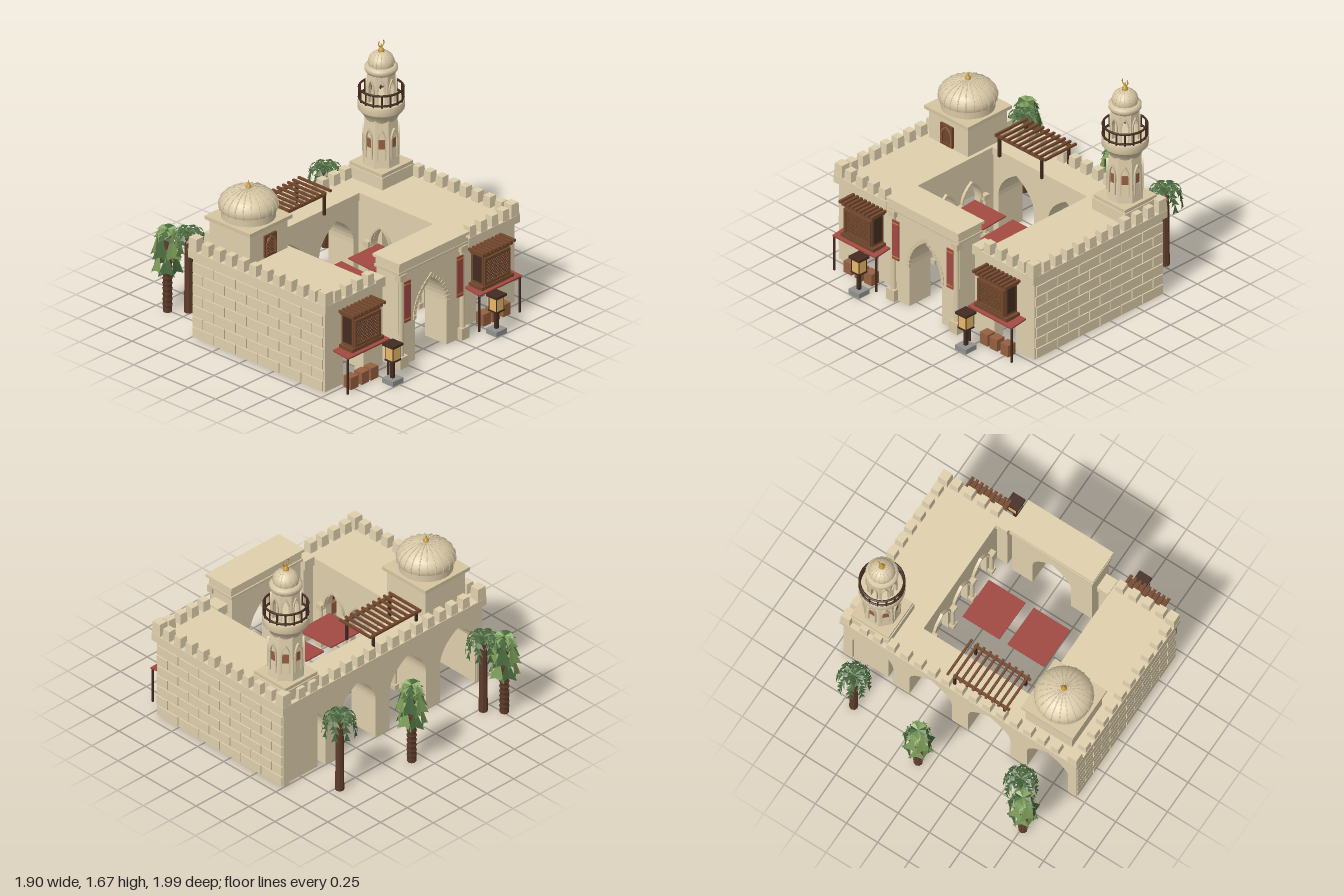
import * as THREE from 'three';

const mat = (color, extra = {}) => new THREE.MeshStandardMaterial({ color, ...extra });
const flat = { flatShading: true }, leafy = { flatShading: true, side: THREE.DoubleSide }, PI = Math.PI;
const M = {
  stone: mat(0xe0d0ad, flat), trim: mat(0xd6c5a1, flat), smooth: mat(0xdacaa7), wood: mat(0x74482d), dark: mat(0x432c20),
  red: mat(0xa24a42), gold: mat(0xc8983c), glow: mat(0xeab868), grey: mat(0x929290), crate: mat(0x966040),
  trunk: mat(0x5e3c2a, flat), leaf: mat(0x48683c, leafy), leafLight: mat(0x7f9f5c, leafy),
};
function add(parent, name, geo, material, x = 0, y = 0, z = 0) {
  const m = Object.assign(new THREE.Mesh(geo, material), { name });
  m.position.set(x, y, z);
  parent.add(m);
  return m;
}
function group(parent, name, x = 0, y = 0, z = 0, ry = 0) {
  const g = Object.assign(new THREE.Group(), { name });
  g.position.set(x, y, z);
  g.rotation.y = ry;
  parent.add(g);
  return g;
}
// Box given by its ranges
const box = (p, name, m, x0, x1, y0, y1, z0, z1) =>
  add(p, name, new THREE.BoxGeometry(Math.abs(x1 - x0), y1 - y0, z1 - z0), m, (x0 + x1) / 2, (y0 + y1) / 2, (z0 + z1) / 2);
// Square blocks on one axis: name, material, half width, bottom, top
const stack = (p, rows) => rows.forEach(([name, m, h, y0, y1]) => box(p, name, m, -h, h, y0, y1, -h, h));
const cyl = (p, name, m, r0, r1, y0, y1, x, z, n = 12) =>
  add(p, name, new THREE.CylinderGeometry(r1, r0, y1 - y0, n), m, x, (y0 + y1) / 2, z);
const lathe = (p, name, m, pts, n) => add(p, name, new THREE.LatheGeometry(pts.map(([r, y]) => new THREE.Vector2(r, y)), n), m);
// Tapered battlement block
const merlonGeo = new THREE.CylinderGeometry(0.041, 0.047, 0.08, 4, 1, false, PI / 4);
const merlon = (p, x, z) => add(p, 'merlon', merlonGeo, M.stone, x, 0.695, z);
// Pointed arch line, running left to right
const crown = (spring, apex) => spring + (apex - spring) * 0.6;
function archLine(path, cx, w, spring, apex) {
  path.lineTo(cx - w, 0).lineTo(cx - w, spring).quadraticCurveTo(cx - w, crown(spring, apex), cx, apex);
  path.quadraticCurveTo(cx + w, crown(spring, apex), cx + w, spring).lineTo(cx + w, 0);
}
const extrude = (s, depth) => new THREE.ExtrudeGeometry(s, { depth, bevelEnabled: false, curveSegments: 8 });
// Wall with arched openings that start at its foot
function arcade(a, b, h, centres, w, spring, apex, depth) {
  const s = new THREE.Shape().moveTo(a, 0);
  for (const c of centres) archLine(s, c, w, spring, apex);
  return extrude(s.lineTo(b, 0).lineTo(b, h).lineTo(a, h).lineTo(a, 0), depth);
}
// Arched band around an opening
function archBand(w, spring, apex, t, depth) {
  const s = new THREE.Shape().moveTo(-w - t, 0), c = crown(spring, apex) + t * 0.6;
  archLine(s, 0, w, spring, apex);
  s.lineTo(w + t, 0).lineTo(w + t, spring).quadraticCurveTo(w + t, c, 0, apex + t * 1.4);
  return extrude(s.quadraticCurveTo(-w - t, c, -w - t, spring), depth);
}
// Framed diagonal lattice facing +z, centred on its group
function lattice(g, w, h, step, t) {
  box(g, 'latticeBack', M.dark, -w / 2, w / 2, -h / 2, h / 2, -0.004, 0);
  for (let c = -(w + h) / 2 + step; c < (w + h) / 2; c += step) for (const s of [1, -1]) {
    const a = Math.max(-w / 2, -h / 2 - c), b = Math.min(w / 2, h / 2 - c), bar = new THREE.BoxGeometry((b - a) * Math.SQRT2, t, t);
    add(g, 'latticeBar', bar, M.wood, s * (a + b) / 2, (a + b) / 2 + c, 0.003).rotation.z = s * PI / 4;
  }
  for (const s of [-1, 1]) {
    box(g, 'frameSide', M.wood, s * w / 2 - 0.01, s * w / 2 + 0.01, -h / 2 - 0.01, h / 2 + 0.01, -0.005, 0.012);
    box(g, 'frameRail', M.wood, -w / 2, w / 2, s * h / 2 - 0.01, s * h / 2 + 0.01, -0.005, 0.012);
  }
}
// Ribbed dome with a finial
function dome(p, y, r, h, ribs) {
  const pts = [[0.96, 0], [1, 0.16], [0.97, 0.38], [0.86, 0.6], [0.66, 0.8], [0.38, 0.94], [0, 1]].map(([a, b]) => [a * r, y + b * h]);
  lathe(p, 'domeShell', M.smooth, pts, 32);
  const geo = new THREE.TubeGeometry(new THREE.CatmullRomCurve3(pts.map(([a, b]) => new THREE.Vector3(a, b, 0))), 12, r * 0.022, 5);
  for (let i = 0; i < ribs; i++) add(p, 'domeRib', geo, M.smooth).rotation.y = i / ribs * PI * 2;
  lathe(p, 'finial', M.gold, [[0.02, -0.005], [0.022, 0.01], [0.01, 0.022], [0.008, 0.03], [0, 0.06]].map(([a, b]) => [a, b + y + h]), 12);
}
// One wing: hollow room, brick outer wall, courtyard arcade
function wing(root, s) {
  const g = group(root, s > 0 ? 'leftWing' : 'rightWing'), ends = [s * 0.365, s * 0.925].sort((a, b) => a - b);
  add(g, 'frontWall', arcade(...ends, 0.6, [s * 0.65], 0.1, 0.2, 0.29, 0.08), M.stone, 0, 0, 0.636);
  box(g, 'sideWall', M.stone, s * 0.865, s * 0.928, 0, 0.6, -0.495, 0.716);
  box(g, 'roof', M.stone, s * 0.45, s * 0.95, 0.6, 0.657, -0.52, 0.745);
  box(g, 'linkWall', M.stone, s * 0.36, s * 0.45, 0.6, 0.67, 0.62, 0.74);
  for (let r = 0; r < 7; r++) for (let k = 0; k <= 6; k++) {
    const a = Math.max(-0.495, -0.495 + (k - (r % 2) / 2) * 0.2), b = Math.min(0.715, -0.495 + (k + 1 - (r % 2) / 2) * 0.2);
    if (b - a > 0.05) box(g, 'brick', M.stone, s * 0.924, s * 0.937, 0.008 + r * 0.081, 0.08 + r * 0.081, a + 0.004, b - 0.004);
  }
  for (let i = 1; i < 11; i++) merlon(g, s * 0.913, -0.478 + i * 0.109);
  for (let i = 0; i < 4; i++) merlon(g, s * (0.5 + i * 0.107), 0.708);
  for (const z of [-0.48, 0.705]) merlon(g, s * 0.91, z).scale.set(1.18, 1.4, 1.18);
  const court = group(g, 'courtArcade', s * 0.45, 0, 0, -s * PI / 2), bays = [-0.05, 0.1875, 0.4225].map((z) => z * s);
  const span = [s * -0.27, s * 0.64].sort((a, b) => a - b);
  add(court, 'arcadeWall', arcade(...span, 0.6, [...bays].sort((a, b) => a - b), 0.088, 0.3, 0.47, 0.05), M.stone, 0, 0, -0.05);
  for (const z of bays) add(court, 'arcadeArch', archBand(0.086, 0.01, 0.15, 0.012, 0.02), M.trim, z, 0.315, 0);
  for (const z of [-0.168, 0.07, 0.305, 0.54]) {
    cyl(g, 'column', M.smooth, 0.017, 0.014, 0.04, 0.3, s * 0.432, z);
    for (const y of [0, 0.3]) box(g, y ? 'capital' : 'columnBase', M.trim, s * 0.41, s * 0.455, y, y + 0.037, z - 0.025, z + 0.025);
  }
}
// Shop front: latticed oriel, awning, crates and a street lantern
function shopFront(root, s) {
  const g = group(root, 'shopFront'), o = group(g, 'oriel', s * 0.635, 0.42, 0), l = group(g, 'lantern', s * 0.507, 0, 0.945);
  box(o, 'orielBody', M.wood, -0.13, 0.13, -0.11, 0.12, 0.716, 0.825);
  lattice(group(o, 'orielLattice', 0, -0.005, 0.828), 0.23, 0.18, 0.025, 0.006);
  box(o, 'orielSill', M.wood, -0.155, 0.155, -0.135, -0.11, 0.716, 0.84);
  box(o, 'orielCornice', M.wood, -0.145, 0.145, 0.11, 0.13, 0.716, 0.84);
  for (let i = 0; i < 9; i++) box(o, 'rafter', M.wood, -0.16 + i * 0.0375, -0.14 + i * 0.0375, 0.13, 0.148, 0.716, 0.855);
  for (const e of [-1, 1]) box(o, 'sideScreen', M.dark, e * 0.128, e * 0.134, -0.09, 0.1, 0.735, 0.81);
  add(g, 'awning', new THREE.BoxGeometry(0.41, 0.012, 0.14), M.red, s * 0.645, 0.277, 0.787).rotation.x = 0.12;
  for (const x of [0.445, 0.842]) cyl(g, 'awningPost', M.dark, 0.008, 0.008, 0, 0.275, s * x, 0.845, 8);
  for (const x of [0.745, 0.64, 0.55]) box(g, 'crate', M.crate, s * x - 0.036, s * x + 0.036, 0, 0.088, 0.75, 0.82);
  stack(l, [['lanternFoot', M.grey, 0.05, 0, 0.037], ['lanternPost', M.dark, 0.012, 0.037, 0.175], ['lanternTray', M.dark, 0.04, 0.168, 0.18],
    ['lanternGlass', M.glow, 0.036, 0.18, 0.28], ['lanternCap', M.dark, 0.05, 0.278, 0.296]]);
  for (const a of [-1, 1]) for (const b of [-1, 1]) cyl(l, 'lanternBar', M.dark, 0.005, 0.005, 0.172, 0.28, a * 0.035, b * 0.035, 4);
}
function gate(root) {
  const g = group(root, 'gate');
  add(g, 'gateBody', arcade(-0.32, 0.32, 0.7, [0], 0.155, 0.32, 0.57, 0.2), M.stone, 0, 0, 0.62);
  box(g, 'gateLedge', M.trim, -0.335, 0.335, 0.695, 0.712, 0.61, 0.84);
  box(g, 'gateAttic', M.stone, -0.328, 0.328, 0.712, 0.77, 0.62, 0.835);
  box(g, 'gateCoping', M.stone, -0.342, 0.342, 0.77, 0.79, 0.603, 0.853);
  const curve = new THREE.QuadraticBezierCurve(new THREE.Vector2(0.163, 0.32), new THREE.Vector2(0.163, 0.47), new THREE.Vector2(0, 0.58));
  for (const s of [-1, 1]) {
    // Arch stones along each half of the pointed arch
    for (let i = 0; i <= 9; i++) {
      const p = curve.getPointAt(i / 9), t = curve.getTangentAt(i / 9), stone = new THREE.BoxGeometry(0.026, 0.03, 0.016);
      add(g, 'archStone', stone, M.trim, s * p.x, p.y, 0.82).rotation.z = s * (Math.atan2(t.y, t.x) - PI / 2);
    }
    cyl(g, 'gateColumn', M.smooth, 0.022, 0.018, 0.08, 0.65, s * 0.3, 0.825);
    box(g, 'gateColumnBase', M.trim, s * 0.262, s * 0.338, 0, 0.085, 0.79, 0.858);
    box(g, 'gateCapital', M.trim, s * 0.27, s * 0.33, 0.65, 0.695, 0.8, 0.85);
    box(g, 'banner', M.red, s * 0.228, s * 0.288, 0.33, 0.635, 0.842, 0.85);
    for (const y of [0.35, 0.61]) box(g, 'bannerBand', M.gold, s * 0.228, s * 0.288, y, y + 0.006, 0.841, 0.852);
    add(root, 'shadeCloth', new THREE.BoxGeometry(0.295, 0.01, 0.32), M.red, s * 0.18, 0.408, 0.19).rotation.x = 0.06;
  }
}
function minaret(root) {
  const g = group(root, 'minaret', 0.738, 0, -0.328);
  stack(g, [['minaretFoot', M.stone, 0.15, 0, 0.6], ['plinth', M.stone, 0.157, 0.65, 0.745], ['plinthCap', M.trim, 0.15, 0.745, 0.77]]);
  add(g, 'shaft', new THREE.CylinderGeometry(0.116, 0.132, 0.4, 8), M.stone, 0, 0.95, 0).rotation.y = PI / 8;
  lathe(g, 'balcony', M.smooth, [[0.11, 1.1], [0.122, 1.13], [0.15, 1.165], [0.159, 1.175], [0.159, 1.225], [0.15, 1.235], [0, 1.235]], 24);
  for (let i = 0; i < 8; i++) {
    const side = group(g, 'minaretSide', 0, 0, 0, i * PI / 4);
    add(side, 'nicheFrame', archBand(0.023, 0.13, 0.21, 0.01, 0.022), M.trim, 0, 0.83, 0.104);
    box(side, 'nicheScreen', M.crate, -0.023, 0.023, 0.83, 0.98, 0.1, 0.116);
    add(side, 'lanternSide', arcade(-0.04, 0.04, 0.215, [0], 0.02, 0.1, 0.165, 0.02), M.stone, 0, 1.235, 0.075);
    add(side, 'lanternBand', archBand(0.02, 0.1, 0.165, 0.01, 0.012), M.trim, 0, 1.235, 0.093);
  }
  for (let a = 0; a < PI * 2 - 0.1; a += PI / 8) cyl(g, 'baluster', M.dark, 0.006, 0.006, 1.235, 1.325, Math.cos(a) * 0.15, Math.sin(a) * 0.15, 6);
  for (const y of [1.25, 1.325]) add(g, 'rail', new THREE.TorusGeometry(0.15, 0.008, 6, 32), M.dark, 0, y, 0).rotation.x = PI / 2;
  lathe(g, 'lanternCornice', M.smooth, [[0, 1.44], [0.1, 1.44], [0.112, 1.46], [0.112, 1.485], [0.092, 1.495], [0, 1.495]], 24);
  dome(g, 1.493, 0.09, 0.1, 16);
  add(g, 'crescent', new THREE.TorusGeometry(0.026, 0.004, 6, 20, PI * 1.5), M.gold, 0, 1.65, 0).rotation.z = PI * 0.75;
}
function domedHall(root) {
  const g = group(root, 'domedHall', -0.66, 0, -0.235);
  stack(g, [['hallBlock', M.stone, 0.185, 0.65, 0.88], ['hallCornice', M.trim, 0.208, 0.88, 0.906]]);
  cyl(g, 'drum', M.smooth, 0.185, 0.185, 0.906, 0.965, 0, 0, 32);
  dome(g, 0.962, 0.202, 0.15, 22);
  lattice(group(g, 'hallWindow', 0, 0.755, 0.195), 0.095, 0.14, 0.025, 0.006);
  add(g, 'hallWindowArch', archBand(0.04, 0.07, 0.13, 0.01, 0.012), M.crate, 0, 0.685, 0.2);
}
function pergola(root) {
  const g = group(root, 'pergola');
  for (const z of [-0.47, -0.215]) {
    box(g, 'beam', M.wood, -0.38, 0.07, 0.795, 0.812, z - 0.01, z + 0.01);
    for (const x of [-0.34, 0.06]) box(g, 'post', M.dark, x - 0.009, x + 0.009, 0.65, 0.795, z - 0.009, z + 0.009);
  }
  for (let i = 0; i < 10; i++) box(g, 'slat', M.wood, -0.363 + i * 0.051, -0.347 + i * 0.051, 0.812, 0.828, -0.495, -0.195);
}
// Drooping frond: pairs of pointed leaflets along an arched spine
function frond(len, drop, width, steps) {
  const v = [], spine = (t) => [len * Math.sin(t * PI * 0.52), 0.03 * Math.sin(PI * t) - drop * t * t];
  for (let i = 0; i < steps; i++) for (const s of [-1, 1]) {
    const [z0, y0] = spine(i / steps), [z1, y1] = spine((i + 1) / steps), w = width * Math.sin(PI * (0.3 + 0.55 * i / steps));
    v.push(0, y0, z0, 0, y1, z1, s * w, y1 - w * 0.45, z1 + w * 0.15);
  }
  const geo = new THREE.BufferGeometry().setAttribute('position', new THREE.Float32BufferAttribute(v, 3));
  geo.computeVertexNormals();
  return geo;
}
// Broad-leaved or feathery palm; layers are [length, drop, leaflet width, height, count]
function palm(root, x, z, broad) {
  const g = group(root, 'palm', x, 0, z);
  cyl(g, 'trunk', M.trunk, 0.031, 0.026, 0, 0.57, 0, 0, 8);
  for (let i = 0; broad && i < 9; i++) cyl(g, 'barkRing', M.trunk, 0.026, 0.036, 0.02 + i * 0.04, 0.055 + i * 0.04, 0, 0, 8);
  const layers = broad ? [[0.085, 0.15, 0.06, 0.475, 7], [0.09, 0.17, 0.065, 0.61, 7], [0.07, 0.05, 0.055, 0.615, 6]]
    : [[0.118, 0.125, 0.034, 0.59, 9], [0.112, 0.05, 0.032, 0.6, 8]];
  layers.forEach(([len, drop, w, y, n], k) => {
    const geo = frond(len, drop, w, broad ? 2 : 5);
    for (let i = 0; i < n; i++) add(g, 'frond', geo, broad && (i + k) % 3 ? M.leafLight : M.leaf, 0, y, 0).rotation.y = (i + k * 0.5) / n * PI * 2;
  });
  for (let a = 0; broad && a < 6; a += 1.257) add(g, 'fruit', new THREE.IcosahedronGeometry(0.014), M.red, Math.cos(a) * 0.05, 0.41, Math.sin(a) * 0.05);
}
export function createModel() {
  const root = new THREE.Group();
  for (const build of [wing, shopFront]) for (const s of [-1, 1]) build(root, s);
  add(root, 'rearArcade', arcade(-0.925, 0.925, 0.6, [-0.705, -0.235, 0.235, 0.705], 0.17, 0.29, 0.52, 0.23), M.stone, 0, 0, -0.498);
  box(root, 'rearRoof', M.stone, -0.46, 0.46, 0.6, 0.657, -0.52, -0.258);
  for (let i = -7; i <= 7; i++) merlon(root, i * 0.1095, -0.482);
  for (const build of [gate, minaret, domedHall, pergola]) build(root);
  for (const [x, z, broad] of [[-0.76, -0.885, true], [0.09, -0.87, true], [-0.67, -0.775, false], [0.67, -0.775, false]]) palm(root, x, z, broad);
  return root;
}
